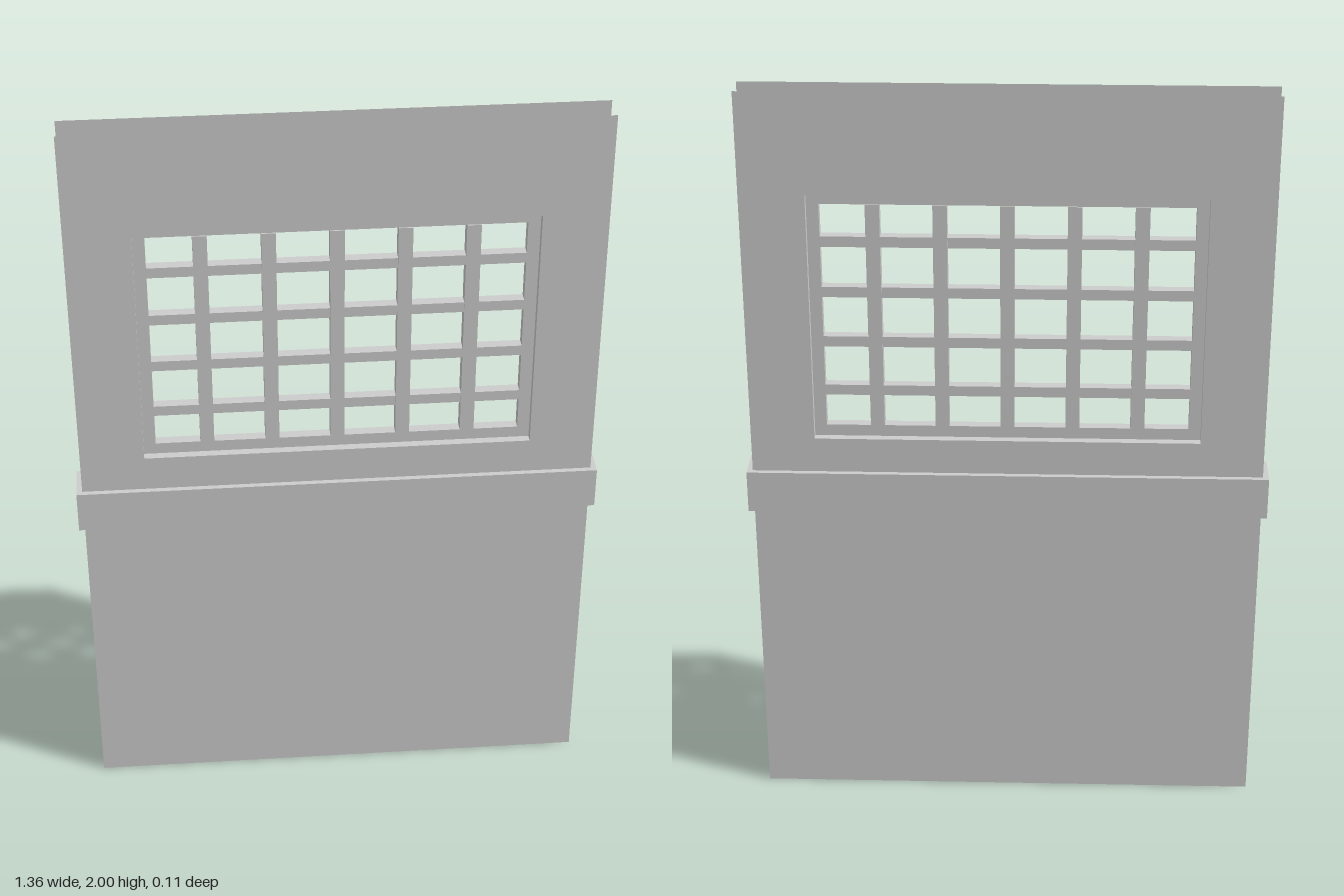
import * as THREE from 'three';

const material = new THREE.MeshStandardMaterial({ color: 0xcccccc, side: THREE.DoubleSide });

function rectangle(PathType, w, h, cy) {
  return new PathType([
    new THREE.Vector2(-w / 2, cy - h / 2),
    new THREE.Vector2(w / 2, cy - h / 2),
    new THREE.Vector2(w / 2, cy + h / 2),
    new THREE.Vector2(-w / 2, cy + h / 2),
  ]);
}

// A box keeping only the faces from..to, in the order +x, -x, +y, -y, +z, -z
function openBox(w, h, d, from, to) {
  const geometry = new THREE.BoxGeometry(w, h, d);
  geometry.setIndex(Array.from(geometry.index.array).slice(from * 6, to * 6));
  geometry.clearGroups();
  return geometry;
}

export function createModel() {
  const door = new THREE.Group();
  door.name = 'door';
  const add = (parent, name, geometry, x = 0, y = 0, z = 0) => {
    const mesh = new THREE.Mesh(geometry, material);
    mesh.name = name;
    mesh.position.set(x, y, z);
    parent.add(mesh);
    return mesh;
  };

  const windowY = 1.4, windowW = 1.0, windowH = 0.67;

  // Front and back skins, thin sheets with a window opening
  const skin = rectangle(THREE.Shape, 1.33, 2, 1);
  skin.holes.push(rectangle(THREE.Path, windowW, windowH, windowY));
  const skinGeometry = new THREE.ShapeGeometry(skin);
  add(door, 'frontPanel', skinGeometry, 0, 0, 0.039);
  add(door, 'backPanel', skinGeometry, 0, 0, -0.039).rotation.y = Math.PI;

  // Sleeve lining the opening between the skins
  add(door, 'windowLining', openBox(windowW, windowH, 0.07, 0, 4), 0, windowY, 0);

  // Crossbar sleeve around the middle, open at both ends
  add(door, 'crossbar', openBox(1.36, 0.114, 0.106, 2, 6), 0, 0.915, 0);

  // Recessed window grille
  const grille = new THREE.Group();
  grille.name = 'windowGrille';
  grille.position.y = windowY;
  door.add(grille);

  const frameDepth = 0.027, innerW = 0.938, innerH = 0.608;
  const frame = rectangle(THREE.Shape, 1.01, 0.676, 0);
  frame.holes.push(rectangle(THREE.Path, innerW, innerH, 0));
  add(grille, 'windowFrame',
    new THREE.ExtrudeGeometry(frame, { depth: frameDepth, bevelEnabled: false }), 0, 0, -frameDepth / 2);

  const uprightGeometry = new THREE.BoxGeometry(0.036, innerH, 0.034);
  for (let i = -2; i <= 2; i++) add(grille, 'verticalBar', uprightGeometry, i * 0.168, 0, 0);

  const railGeometry = new THREE.BoxGeometry(innerW, 0.028, frameDepth);
  for (let i = -1.5; i <= 1.5; i++) add(grille, 'horizontalBar', railGeometry, 0, i * 0.136, 0);

  return door;
}
